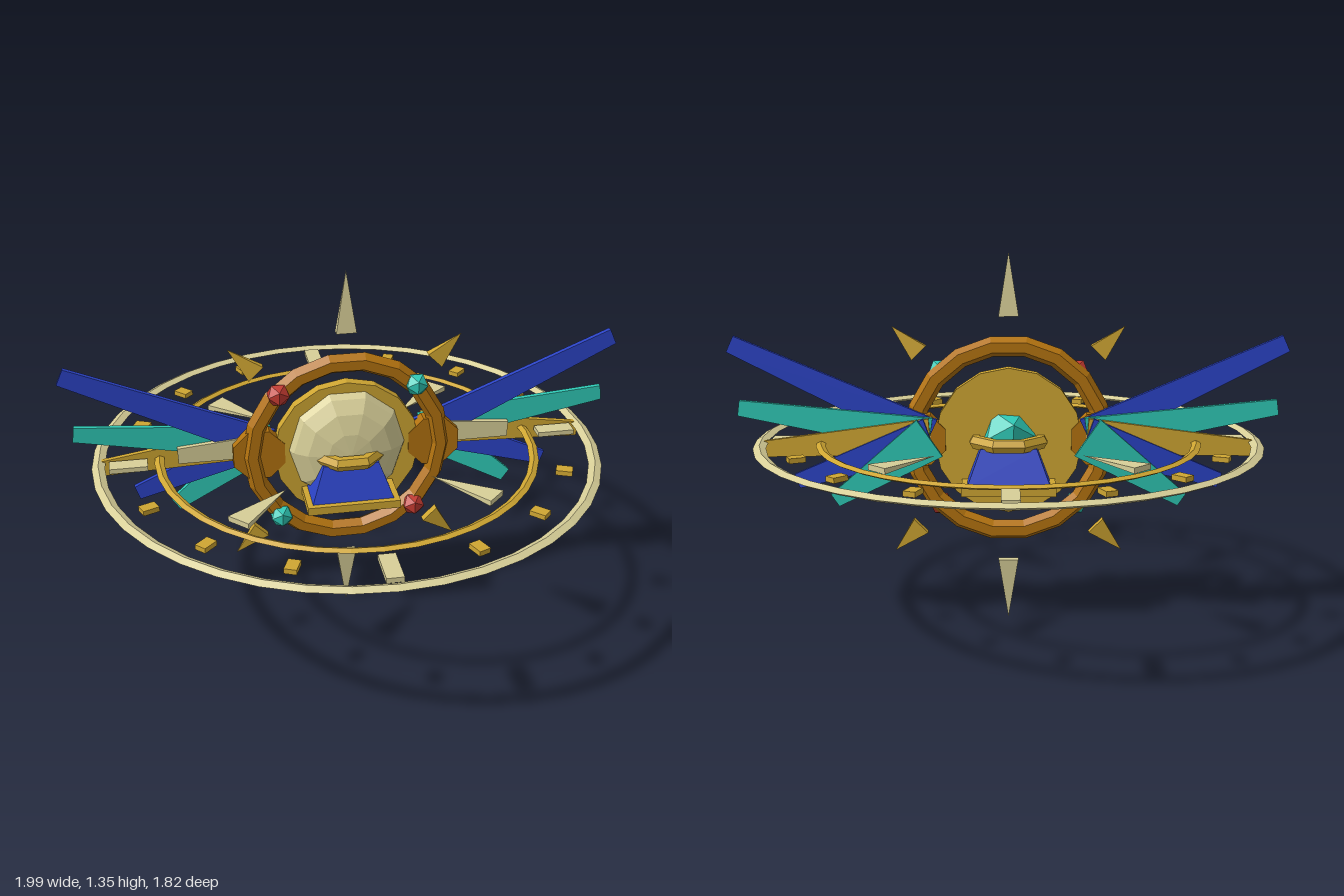
import * as THREE from 'three';

const CY = 0.675; // height of the hub centre

function material(name, color) {
  const m = new THREE.MeshStandardMaterial({ color });
  m.name = name;
  return m;
}

// Splits shared normals so every facet reads flat
function faceted(geometry) {
  const g = geometry.index ? geometry.toNonIndexed() : geometry;
  g.computeVertexNormals();
  return g;
}

// Tapered slab running along +x from the origin, sheared in z towards its tip
function featherGeometry(length, rootWidth, tipWidth, dz) {
  const g = new THREE.BoxGeometry(length, 1, 0.018);
  g.translate(length / 2, 0, 0);
  const p = g.attributes.position;
  for (let i = 0; i < p.count; i++) {
    const t = p.getX(i) / length;
    p.setY(i, p.getY(i) * (rootWidth + (tipWidth - rootWidth) * t));
    p.setZ(i, p.getZ(i) + dz * t);
  }
  return faceted(g);
}

// Flattened four-sided spike, pointing along +y, base at the origin
function spikeGeometry(length, halfWidth, halfDepth) {
  const g = new THREE.ConeGeometry(Math.SQRT2, length, 4);
  g.rotateY(Math.PI / 4);
  g.scale(halfWidth, 1, halfDepth);
  g.translate(0, length / 2, 0);
  return faceted(g);
}

export function createModel() {
  const blue = material('royal blue', 0x2b43c6);
  const teal = material('turquoise', 0x2fc9b6);
  const gold = material('gold', 0xcfa632);
  const bronze = material('bronze', 0xb3730f);
  const cream = material('pale cream', 0xd8cf98);
  const red = material('ruby', 0xc23a30);

  const model = new THREE.Group();
  model.name = 'wingedSunDial';
  const add = (name, geometry, mat, x = 0, y = 0, z = 0, parent = model) => {
    const mesh = new THREE.Mesh(geometry, mat);
    mesh.name = name;
    mesh.position.set(x, y, z);
    parent.add(mesh);
    return mesh;
  };

  // Upright sun disc: ring, backing plate and faceted dome
  const hoop = new THREE.TorusGeometry(0.343, 0.036, 6, 18);
  add('uprightRing', faceted(hoop), bronze, 0, CY, 0);
  const plate = new THREE.CylinderGeometry(0.265, 0.265, 0.04, 16).rotateX(Math.PI / 2);
  add('sunPlate', faceted(plate), gold, 0, CY, -0.01);
  const dome = new THREE.SphereGeometry(0.225, 10, 4, 0, Math.PI * 2, 0, Math.PI / 2);
  dome.rotateX(Math.PI / 2);
  dome.scale(0.95, 1, 0.42);
  add('sunDome', faceted(dome), cream, 0, CY + 0.015, 0.002);

  // Jewels on the upright ring
  for (let i = 0; i < 4; i++) {
    const a = Math.PI / 4 + i * Math.PI / 2;
    add('ringJewel', faceted(new THREE.IcosahedronGeometry(0.044, 0)), i % 2 ? red : teal,
      0.348 * Math.cos(a), CY + 0.348 * Math.sin(a), 0.025);
  }

  // Spikes radiating from the upright ring
  for (const s of [1, -1]) {
    const long = add('longRay', spikeGeometry(0.227, 0.036, 0.015), cream, 0, CY + s * 0.448, -0.015);
    if (s < 0) long.rotation.z = Math.PI;
  }
  for (let i = 0; i < 4; i++) {
    const a = Math.PI / 4 + i * Math.PI / 2;
    const ray = add('shortRay', spikeGeometry(0.135, 0.036, 0.015), gold,
      0.45 * Math.cos(a), CY + 0.45 * Math.sin(a), -0.015);
    ray.rotation.z = a - Math.PI / 2;
  }

  // Wings: tip x, tip y, root width, tip width, colour, root z, tip z
  const feathers = [
    [0.983, 1.028, 0.12, 0.062, blue, -0.035, -0.028],
    [0.96, 0.80, 0.13, 0.056, teal, -0.05, -0.038],
    [0.885, 0.652, 0.13, 0.056, gold, -0.064, -0.046],
    [0.757, 0.536, 0.14, 0.054, blue, -0.077, -0.055],
    [0.622, 0.467, 0.16, 0.052, teal, -0.09, -0.066],
    [0.605, 0.69, 0.09, 0.06, cream, -0.03, -0.022],
  ];
  for (const s of [1, -1]) {
    const wing = new THREE.Group();
    wing.name = s > 0 ? 'leftWing' : 'rightWing';
    model.add(wing);
    for (const [tx, ty, w0, w1, mat, z0, z1] of feathers) {
      const dx = tx - 0.28, dy = ty - 0.70;
      const feather = add('feather', featherGeometry(Math.hypot(dx, dy), w0, w1, z1 - z0), mat,
        s * 0.28, 0.70, z0, wing);
      feather.rotation.z = Math.atan2(dy, s * dx);
    }
    // Shoulder block holding the feathers to the ring
    const shoulder = new THREE.CylinderGeometry(0.1, 0.1, 0.05, 8).rotateX(Math.PI / 2);
    shoulder.rotateZ(Math.PI / 8);
    add('wingShoulder', faceted(shoulder), bronze, s * 0.318, CY + 0.005, -0.012, wing);
  }

  // Central pedestal: base slab, tapered block, collar and gem
  add('pedestalBase', new THREE.BoxGeometry(0.335, 0.03, 0.335), gold, 0, 0.52, 0);
  const block = new THREE.CylinderGeometry(0.1 * Math.SQRT2, 0.147 * Math.SQRT2, 0.125, 4);
  block.rotateY(Math.PI / 4);
  add('pedestalBlock', faceted(block), blue, 0, 0.5975, 0);
  const collar = new THREE.TorusGeometry(0.125, 0.026, 6, 8).rotateX(Math.PI / 2);
  collar.rotateY(Math.PI / 8);
  add('pedestalCollar', faceted(collar), gold, 0, CY, 0);
  const gem = add('centreGem', faceted(new THREE.IcosahedronGeometry(0.106, 0)), teal, 0, 0.69, 0);
  gem.rotation.y = 0.2;

  // Horizontal dial: two flattened diamond-section rings
  const dial = new THREE.Group();
  dial.name = 'dial';
  dial.position.y = CY;
  model.add(dial);
  const dialRing = (name, radius, tube, mat) => {
    const g = new THREE.TorusGeometry(radius, tube, 4, 40).rotateX(Math.PI / 2);
    g.scale(1, 0.5, 1);
    add(name, faceted(g), mat, 0, 0, 0, dial);
  };
  dialRing('outerDialRing', 0.885, 0.023, cream);
  dialRing('innerDialRing', 0.672, 0.017, gold);

  // Hour markers, larger on the four main directions
  for (let i = 0; i < 16; i++) {
    const a = i * Math.PI / 8, main = i % 4 === 0;
    const size = main ? [0.135, 0.018, 0.058] : [0.058, 0.018, 0.042];
    const mark = add(main ? 'mainMarker' : 'smallMarker', new THREE.BoxGeometry(...size),
      main ? cream : gold, 0.78 * Math.cos(a), 0, 0.78 * Math.sin(a), dial);
    mark.rotation.y = -a;
  }

  // Diagonal pointers aimed at the hub
  for (let i = 0; i < 4; i++) {
    const a = Math.PI / 4 + i * Math.PI / 2;
    const g = spikeGeometry(0.26, 0.043, 0.01);
    g.rotateZ(Math.PI / 2); // points along -x
    g.rotateX(Math.PI / 2); // lies flat
    const pointer = add('dialPointer', g, cream, 0.618 * Math.cos(a), 0, 0.618 * Math.sin(a), dial);
    pointer.rotation.y = -a;
  }

  return model;
}
